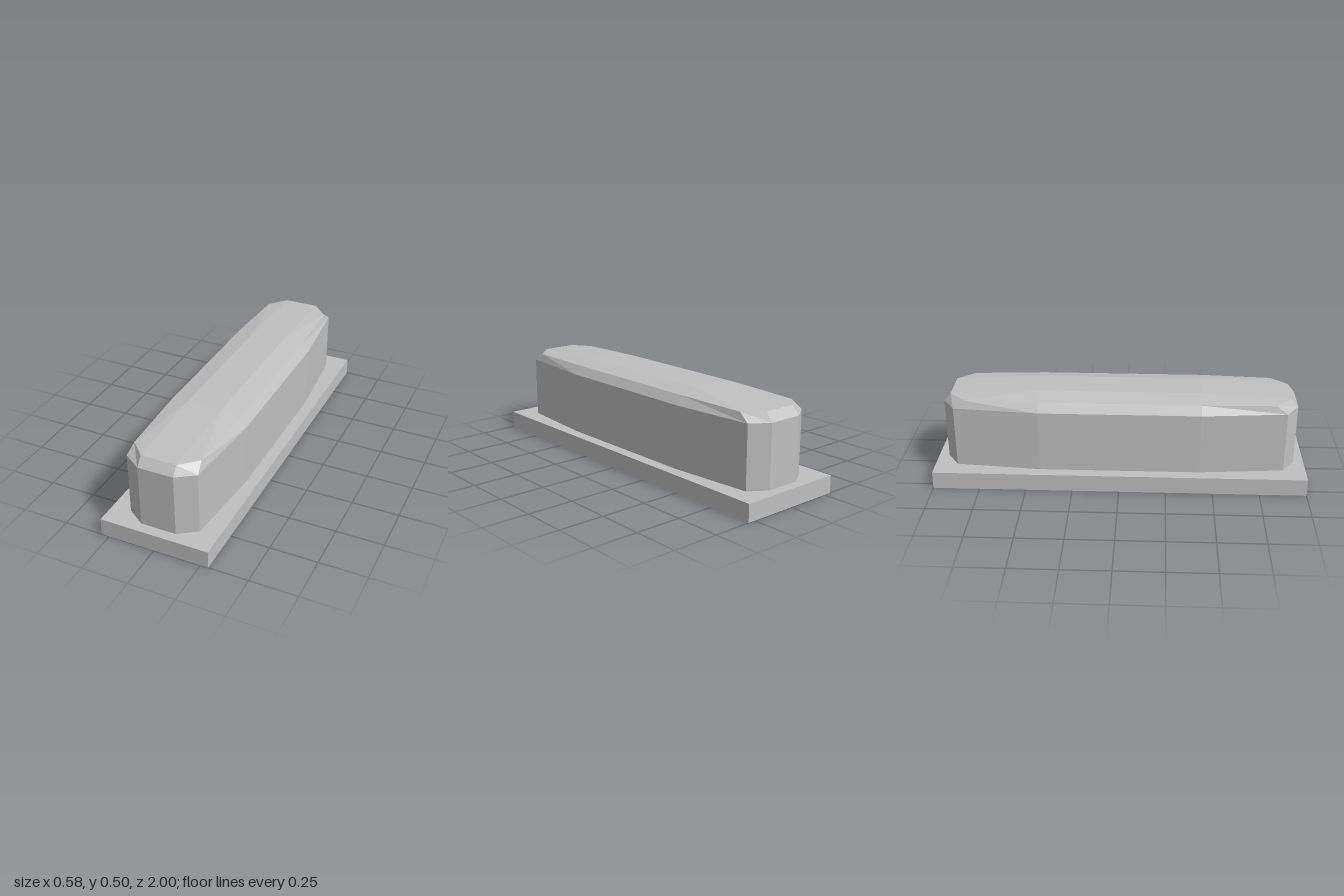
import * as THREE from 'three';

// Twelve-sided ring from one quadrant of [x, y, z] points, mirrored around
function ring(quadrant) {
  const points = [];
  [[1, 1], [-1, 1], [-1, -1], [1, -1]].forEach(([sx, sz], q) => {
    const order = q % 2 ? [...quadrant].reverse() : quadrant;
    order.forEach(([x, y, z]) => points.push(new THREE.Vector3(sx * x, y, sz * z)));
  });
  return points;
}

// Skin a stack of rings, skipping triangles that collapse to a line
function loft(rings) {
  const positions = [];
  const tri = (a, b, c) => {
    if (new THREE.Triangle(a, b, c).getArea() < 1e-7) return;
    for (const p of [a, b, c]) positions.push(p.x, p.y, p.z);
  };
  for (let r = 0; r < rings.length - 1; r++) {
    const low = rings[r], high = rings[r + 1];
    for (let i = 0; i < low.length; i++) {
      const j = (i + 1) % low.length;
      tri(low[i], high[i], high[j]);
      tri(low[i], high[j], low[j]);
    }
  }
  const geometry = new THREE.BufferGeometry();
  geometry.setAttribute('position', new THREE.Float32BufferAttribute(positions, 3));
  geometry.computeVertexNormals();
  return geometry;
}

export function createModel() {
  const model = new THREE.Group();
  model.name = 'beveledBlockOnPlinth';
  const grey = new THREE.MeshStandardMaterial({ color: 0xc0c0c0 });
  grey.name = 'light grey';

  // Flat rectangular plinth
  const plinthHeight = 0.094;
  const plinth = new THREE.Mesh(new THREE.BoxGeometry(0.584, plinthHeight, 2), grey);
  plinth.name = 'plinth';
  plinth.position.y = plinthHeight / 2;
  model.add(plinth);

  // Bowed body: upright walls, beveled rim and a gently raised flat crown
  const wall = (y) => ring([[0.23, y, 0.43], [0.19, y, 0.88], [0.094, y, 0.945]]);
  const rim = ring([[0.196, 0.475, 0.43], [0.179, 0.471, 0.82], [0.094, 0.475, 0.907]]);
  const crown = ring(Array(3).fill([0.094, 0.498, 0.43]));
  const crownCentre = ring(Array(3).fill([0, 0.498, 0]));
  const body = new THREE.Mesh(
    loft([wall(plinthHeight), wall(0.429), rim, crown, crownCentre]), grey);
  body.name = 'body';
  model.add(body);

  return model;
}
